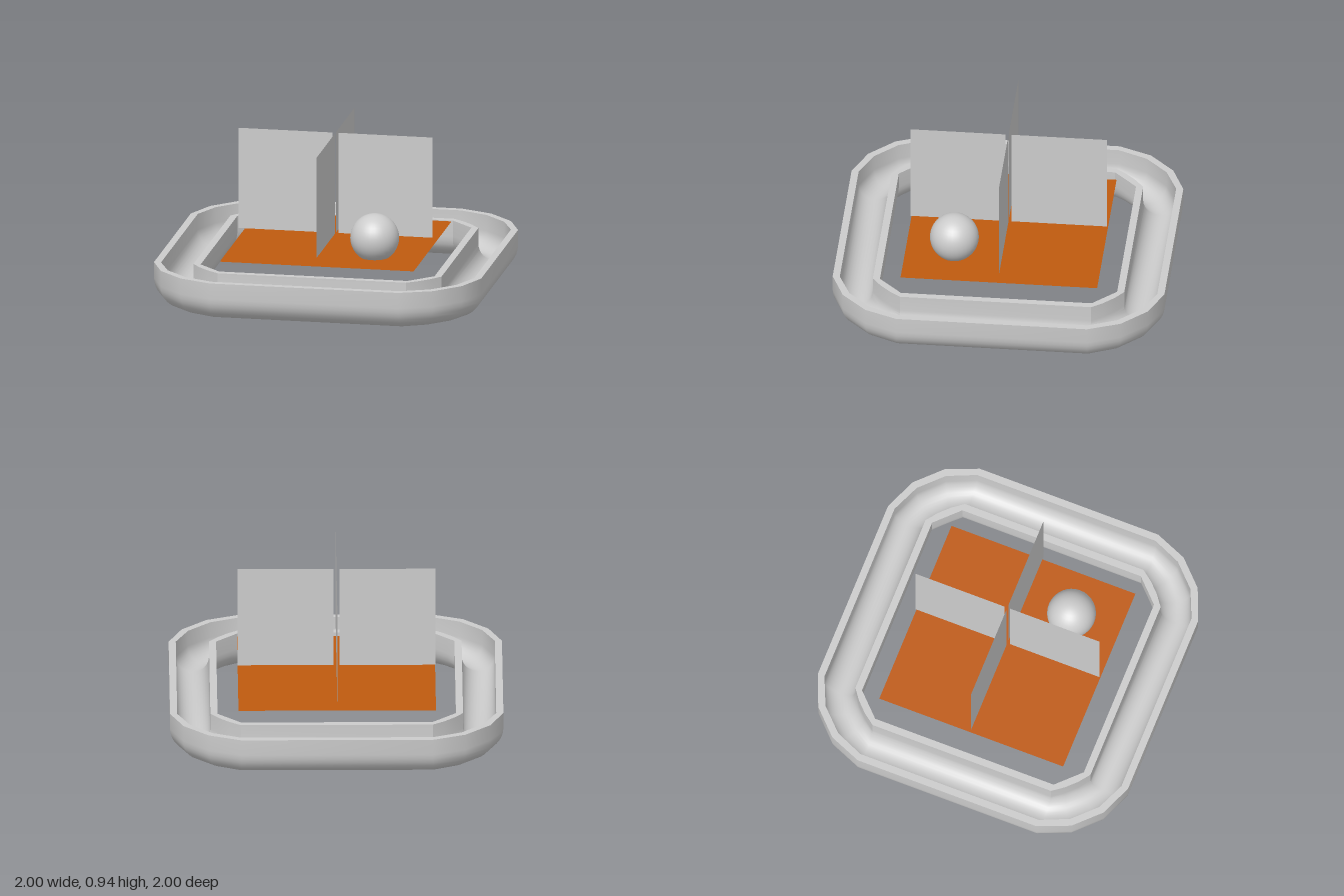
import * as THREE from 'three';
import { toCreasedNormals } from 'three/addons/utils/BufferGeometryUtils.js';

const RIM = 0.24;      // height of the tray rim
const R = 0.1425;      // outer radius of the U-shaped channel
const WALL = 0.043;    // channel wall thickness

// Corner of the ring in plan: outer edge and matching inner edge
const OUTER = [[1, 0.575], [0.92, 0.77], [0.77, 0.92], [0.575, 1]];
const INNER = [[0.715, 0.575], [0.668, 0.622], [0.622, 0.668], [0.575, 0.715]];

// Closed channel section as [t, y]; t runs from inner edge (0) to outer edge (1)
function channelSection() {
  const section = [];
  const steps = 16;
  const addU = (radius, reverse) => {
    const k = radius / R / 2;
    const u = [[0.5 + k, RIM]];
    for (let i = 0; i <= steps; i++) {
      const a = Math.PI * i / steps;
      u.push([0.5 + k * Math.cos(a), R - radius * Math.sin(a)]);
    }
    u.push([0.5 - k, RIM]);
    section.push(...(reverse ? u.reverse() : u));
  };
  addU(R, false);
  addU(R - WALL, true);
  return section;
}

function trayGeometry() {
  const section = channelSection();
  const n = section.length, rings = 16;
  const positions = [], index = [];
  for (let i = 0; i < rings; i++) {
    const o = OUTER[i % 4], p = INNER[i % 4];
    const turn = Math.floor(i / 4) * Math.PI / 2;
    const c = Math.cos(turn), s = Math.sin(turn);
    for (const [t, y] of section) {
      const x = p[0] + (o[0] - p[0]) * t;
      const z = p[1] + (o[1] - p[1]) * t;
      positions.push(x * c - z * s, y, x * s + z * c);
    }
    const next = (i + 1) % rings;
    for (let j = 0; j < n; j++) {
      const k = (j + 1) % n;
      const a = i * n + j, b = next * n + j, d = i * n + k, e = next * n + k;
      index.push(a, b, d, b, e, d);
    }
  }
  const g = new THREE.BufferGeometry();
  g.setAttribute('position', new THREE.Float32BufferAttribute(positions, 3));
  g.setIndex(index);
  return toCreasedNormals(g, Math.PI / 5);
}

export function createModel() {
  const model = new THREE.Group();
  const grey = new THREE.MeshStandardMaterial({ name: 'grey', color: 0xcccccc });
  const greySheet = grey.clone();
  greySheet.side = THREE.DoubleSide;
  const orange = new THREE.MeshStandardMaterial({ name: 'orange', color: 0xbf5a0f, side: THREE.DoubleSide });

  const add = (name, geometry, material, parent = model) => {
    const mesh = new THREE.Mesh(geometry, material);
    mesh.name = name;
    parent.add(mesh);
    return mesh;
  };

  // Rounded ring-shaped trough
  add('tray', trayGeometry(), grey);

  // Flat floor inside the ring
  const floor = add('floor', new THREE.PlaneGeometry(1.185, 1.185).rotateX(-Math.PI / 2), orange);
  floor.position.set(-0.003, 0.267, -0.003);

  // Four upright sheets arranged as a cross
  const dividers = new THREE.Group();
  dividers.name = 'dividers';
  dividers.position.set(-0.003, 0, -0.003);
  model.add(dividers);
  const sheet = new THREE.PlaneGeometry(0.575, 0.622).translate(0.305, 0.632, 0);
  for (let i = 0; i < 4; i++) {
    add('divider' + (i + 1), sheet, greySheet, dividers).rotation.y = i * Math.PI / 2;
  }

  // Ball resting in one quarter, dipping through the floor
  add('ball', new THREE.SphereGeometry(0.147, 32, 20), grey).position.set(0.294, 0.385, 0.294);

  return model;
}
